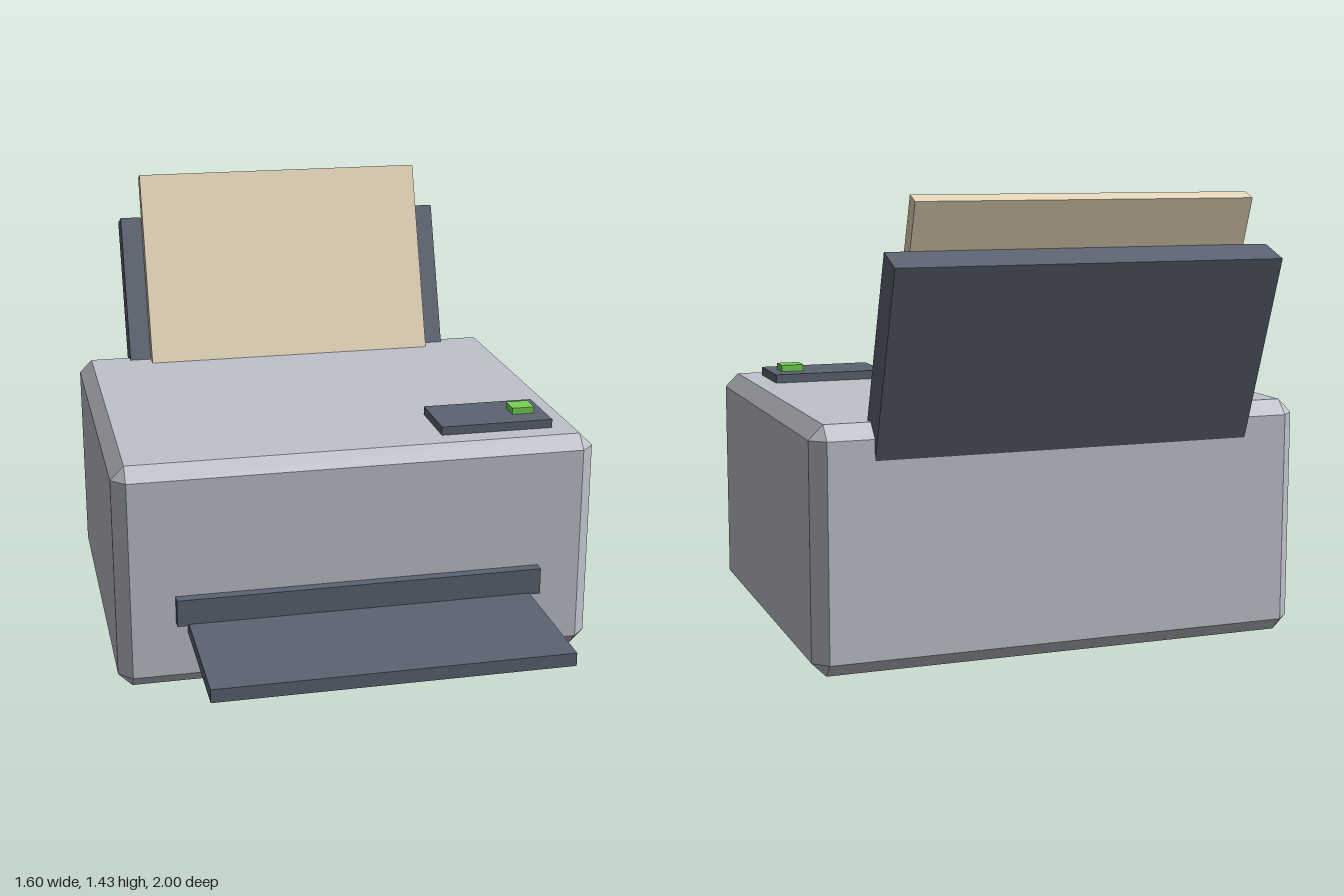
import * as THREE from 'three';
import { ConvexGeometry } from 'three/addons/geometries/ConvexGeometry.js';

const material = (name, color) => {
  const m = new THREE.MeshStandardMaterial({ color });
  m.name = name;
  return m;
};

// Box with a flat bevel on every edge
function chamferedBox(w, h, d, bevel) {
  const half = [w / 2, h / 2, d / 2];
  const points = [];
  for (const sx of [-1, 1]) for (const sy of [-1, 1]) for (const sz of [-1, 1]) {
    for (let full = 0; full < 3; full++) {
      const p = half.map((v, i) => (i === full ? v : v - bevel));
      points.push(new THREE.Vector3(p[0] * sx, p[1] * sy, p[2] * sz));
    }
  }
  return new ConvexGeometry(points);
}

export function createModel() {
  const model = new THREE.Group();
  model.name = 'printer';
  const casing = material('casing grey', 0xbfc2cb);
  const dark = material('slate', 0x5c6472);
  const cream = material('paper cream', 0xe8dabd);
  const green = material('button green', 0x76d055);

  const add = (name, geometry, mat, x, y, z, parent = model) => {
    const mesh = new THREE.Mesh(geometry, mat);
    mesh.name = name;
    mesh.position.set(x, y, z);
    parent.add(mesh);
    return mesh;
  };
  // Box given by its lower and upper limits on each axis
  const addBox = (name, mat, [x0, x1], [y0, y1], [z0, z1], parent) =>
    add(name, new THREE.BoxGeometry(x1 - x0, y1 - y0, z1 - z0), mat,
      (x0 + x1) / 2, (y0 + y1) / 2, (z0 + z1) / 2, parent);

  // Main casing
  add('body', chamferedBox(1.6, 0.763, 1.292, 0.045), casing, 0, 0.3815, -0.141);

  // Paper output at the front
  addBox('outputSlot', dark, [-0.61, 0.61], [0.232, 0.322], [0.46, 0.541]);
  addBox('outputTray', dark, [-0.573, 0.573], [0.193, 0.237], [0.45, 1]);

  // Control panel and button
  addBox('controlPanel', dark, [0.302, 0.684], [0.75, 0.792], [0.161, 0.387]);
  addBox('powerButton', green, [0.57, 0.646], [0.785, 0.814], [0.237, 0.31]);

  // Leaning feeder, pivoting at the top front edge of the support
  const feeder = new THREE.Group();
  feeder.name = 'paperFeeder';
  feeder.position.set(0, 1.272, -0.892);
  feeder.rotation.x = -THREE.MathUtils.degToRad(20);
  model.add(feeder);
  addBox('paperSupport', dark, [-0.61, 0.61], [-0.72, 0], [-0.113, 0], feeder);
  addBox('paperStack', cream, [-0.533, 0.533], [-0.62, 0.152], [0, 0.052], feeder);

  return model;
}
